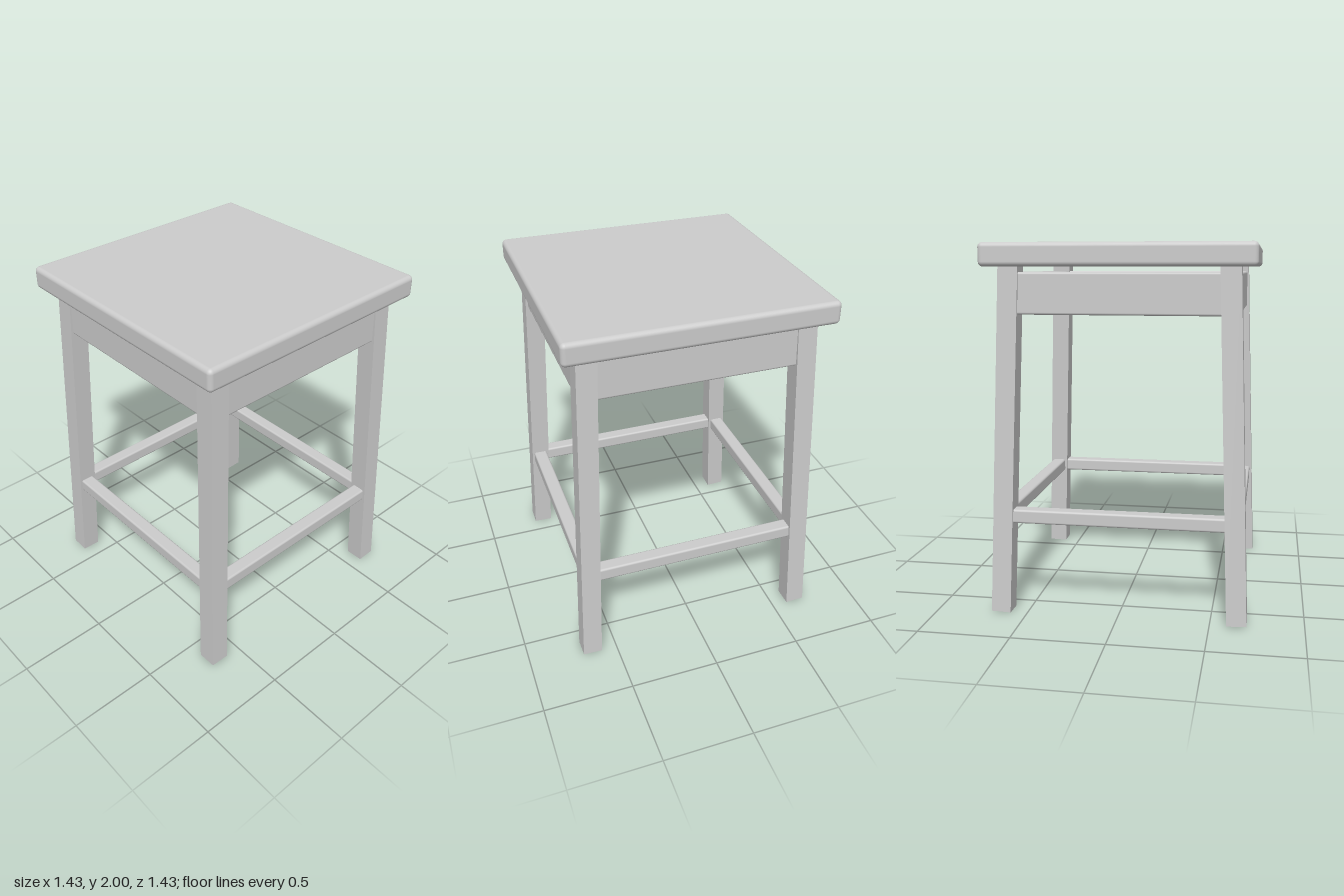
import * as THREE from 'three';
import { RoundedBoxGeometry } from 'three/addons/geometries/RoundedBoxGeometry.js';

const SLOPE = 0.0346;                        // inward lean of the legs per unit of height
const legAxis = (y) => 0.643 - SLOPE * y;    // distance of a leg's axis from the centre planes

export function createModel() {
  const stool = new THREE.Group();
  stool.name = 'stool';
  const material = new THREE.MeshStandardMaterial({ color: 0xcccccc });

  const add = (name, geometry, parent = stool) => {
    const mesh = new THREE.Mesh(geometry, material);
    mesh.name = name;
    parent.add(mesh);
    return mesh;
  };

  // Thick square seat with softened edges
  add('seat', new RoundedBoxGeometry(1.43, 0.124, 1.43, 4, 0.025)).position.y = 1.938;

  // Four square legs splayed outwards towards the floor
  const bottom = 0.004, top = 1.9;
  for (const sx of [-1, 1]) {
    for (const sz of [-1, 1]) {
      const foot = new THREE.Vector3(sx * legAxis(bottom), bottom, sz * legAxis(bottom));
      const head = new THREE.Vector3(sx * legAxis(top), top, sz * legAxis(top));
      const axis = head.clone().sub(foot);
      const side = sz > 0 ? 'front' : 'back';
      const leg = add(side + (sx > 0 ? 'LeftLeg' : 'RightLeg'),
        new THREE.BoxGeometry(0.107, axis.length(), 0.107));
      leg.position.copy(foot).add(head).multiplyScalar(0.5);
      leg.quaternion.setFromUnitVectors(new THREE.Vector3(0, 1, 0), axis.normalize());
    }
  }

  // Aprons under the seat and rails near the floor, one of each per side
  const bars = [
    { name: 'Apron', y: 1.738, height: 0.22, depth: 0.085 },
    { name: 'Rail', y: 0.542, height: 0.076, depth: 0.08 },
  ];
  ['front', 'left', 'back', 'right'].forEach((side, i) => {
    const frame = new THREE.Group();
    frame.name = side + 'Frame';
    frame.rotation.y = i * Math.PI / 2;
    stool.add(frame);
    for (const { name, y, height, depth } of bars) {
      const offset = legAxis(y);
      const geometry = new RoundedBoxGeometry(2 * offset + 0.05, height, depth, 2, 0.012);
      add(side + name, geometry, frame).position.set(0, y, offset);
    }
  });

  return stool;
}
